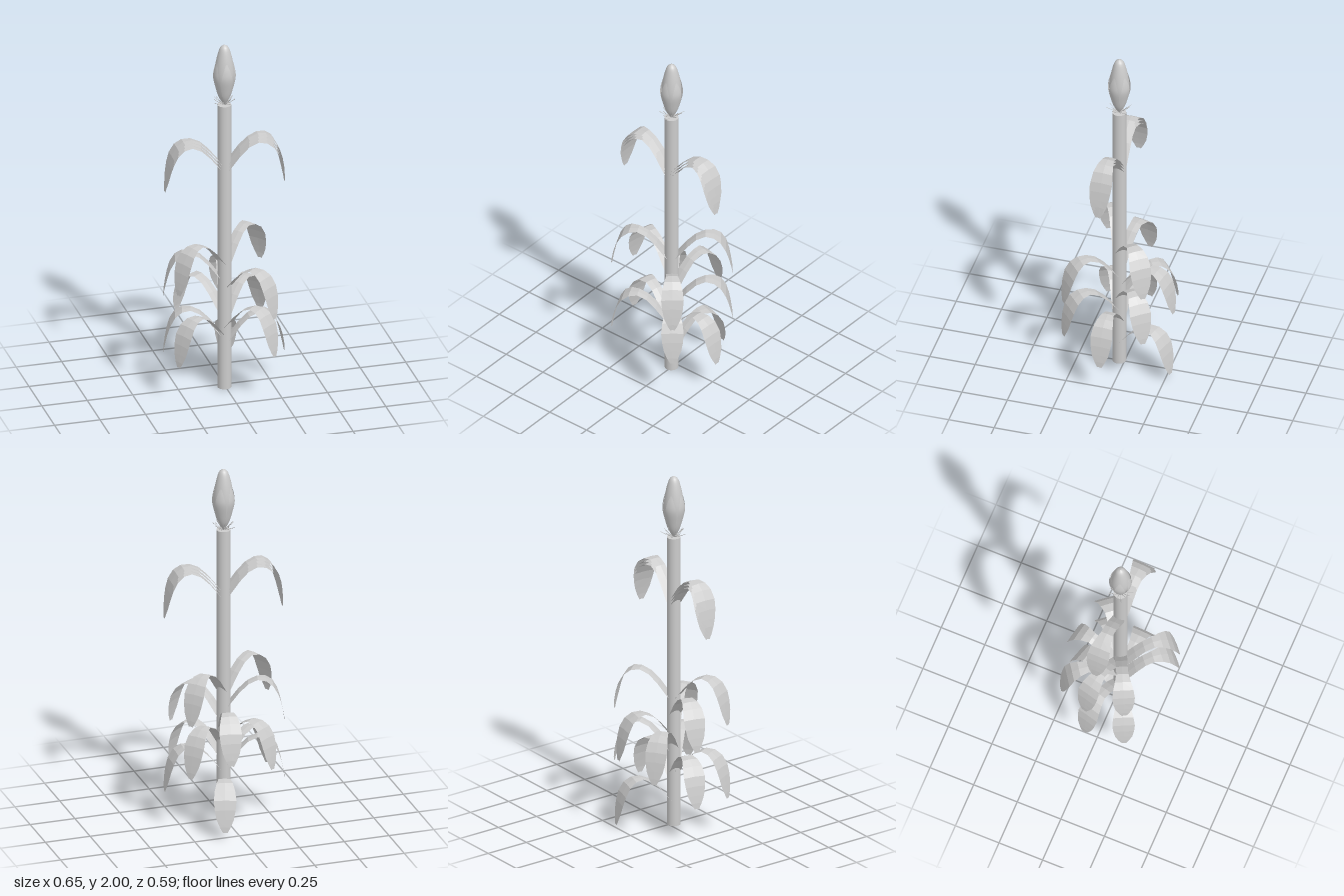
import * as THREE from 'three';

const smooth = new THREE.MeshStandardMaterial({ color: 0xcccccc, side: THREE.DoubleSide });
const faceted = new THREE.MeshStandardMaterial({ color: 0xcccccc, side: THREE.DoubleSide, flatShading: true });

function add(parent, name, geometry, material) {
  const mesh = new THREE.Mesh(geometry, material);
  mesh.name = name;
  parent.add(mesh);
  return mesh;
}

// Arching ribbon: [distance from stalk axis, height, half width]
const leafSections = [
  [0.02, 0, 0.033], [0.08, 0.078, 0.033], [0.13, 0.127, 0.031], [0.18, 0.15, 0.032],
  [0.225, 0.145, 0.043], [0.262, 0.118, 0.054], [0.289, 0.07, 0.06], [0.304, 0.02, 0.055],
  [0.314, -0.03, 0.045], [0.321, -0.07, 0.028], [0.324, -0.1, 0.012],
];

function leafGeometry() {
  const positions = [], indices = [];
  leafSections.forEach(([r, y, w], i) => {
    positions.push(r, y, -w, r, y + 0.003, 0, r, y, w);
    if (i === 0) return;
    for (let j = 0; j < 2; j++) {
      const a = (i - 1) * 3 + j, b = a + 3;
      indices.push(a, a + 1, b, a + 1, b + 1, b);
    }
  });
  const geometry = new THREE.BufferGeometry();
  geometry.setAttribute('position', new THREE.Float32BufferAttribute(positions, 3));
  geometry.setIndex(indices);
  geometry.computeVertexNormals();
  return geometry;
}

// Leaves: [base height, compass angle in degrees from +x towards +z]
const leaves = [
  [0.14, -73], [0.28, 3], [0.31, 154], [0.31, -166], [0.36, 50], [0.43, -39],
  [0.45, -125], [0.52, -79], [0.58, 50], [0.64, -166], [0.73, 154], [0.73, -39],
];
// Stacked pairs near the top
for (let i = 0; i < 3; i++) {
  leaves.push([1.31 - i * 0.018, 3 + i * 0.7], [1.31 - i * 0.018, 181 + i * 0.7]);
}

export function createModel() {
  const root = new THREE.Group();
  root.name = 'cornPlant';
  const plant = new THREE.Group();
  plant.name = 'plant';
  plant.position.set(-0.005, 0, 0.03);
  root.add(plant);

  // Stalk
  add(plant, 'stalk', new THREE.CylinderGeometry(0.037, 0.037, 1.65, 24), smooth)
    .position.y = 0.825;

  // Leaves
  const blade = leafGeometry();
  for (const [y, angle] of leaves) {
    const leaf = add(plant, 'leaf', blade, faceted);
    leaf.position.y = y;
    leaf.rotation.y = -THREE.MathUtils.degToRad(angle);
  }

  // Ear
  const ear = new THREE.Group();
  ear.name = 'ear';
  ear.position.y = 1.65;
  plant.add(ear);
  const curve = (points) => new THREE.SplineCurve(points.map(([r, y]) => new THREE.Vector2(r, y)))
    .getPoints(24).map((p) => new THREE.Vector2(Math.max(p.x, 0), p.y));
  add(ear, 'cob', new THREE.LatheGeometry(curve([
    [0, 0.01], [0.028, 0.05], [0.045, 0.11], [0.054, 0.17], [0.049, 0.23],
    [0.037, 0.29], [0.022, 0.334], [0, 0.35],
  ]), 24), smooth);

  // Husk blades hugging the cob
  const huskProfile = curve([
    [0.004, 0], [0.03, 0.045], [0.047, 0.1], [0.06, 0.16], [0.057, 0.205], [0.046, 0.25],
  ]);
  for (let i = 0; i < 5; i++) {
    const geometry = new THREE.LatheGeometry(huskProfile, 8, -0.6, 1.2);
    const p = geometry.attributes.position;
    for (let k = 0; k < p.count; k++) {
      // Narrow the blade towards its tip
      const t = p.getY(k) / 0.25;
      const r = Math.hypot(p.getX(k), p.getZ(k));
      const a = Math.atan2(p.getX(k), p.getZ(k)) * (1 - 0.85 * t ** 4);
      p.setXYZ(k, r * Math.sin(a), p.getY(k), r * Math.cos(a));
    }
    geometry.computeVertexNormals();
    add(ear, 'husk', geometry, smooth).rotation.y = (i / 5) * Math.PI * 2;
  }

  // Frill of thin curved strands under the ear
  for (let i = 0; i < 14; i++) {
    const reach = 0.045 + 0.012 * (i % 3), rise = 0.046 - 0.009 * (i % 3);
    const path = new THREE.QuadraticBezierCurve3(
      new THREE.Vector3(0, 0, 0),
      new THREE.Vector3(reach * 0.5, rise * 0.3, 0),
      new THREE.Vector3(reach, rise, 0));
    add(ear, 'strand', new THREE.TubeGeometry(path, 5, 0.0016, 4), smooth)
      .rotation.y = (i / 14) * Math.PI * 2;
  }
  return root;
}
